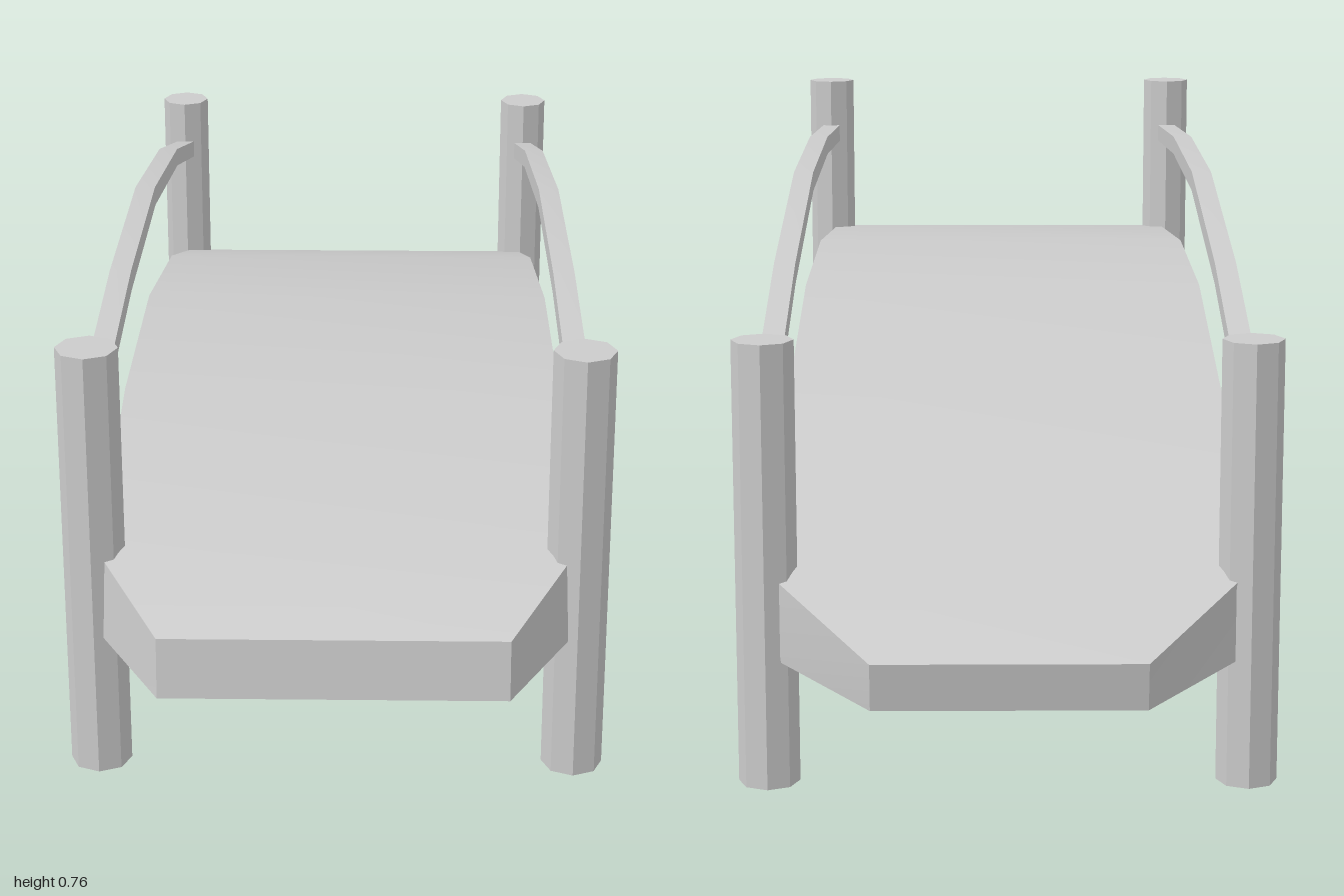
import * as THREE from 'three';
import { toCreasedNormals } from 'three/addons/utils/BufferGeometryUtils.js';

const material = new THREE.MeshStandardMaterial({ color: 0xcccccc });
const flat = new THREE.MeshStandardMaterial({ color: 0xcccccc, flatShading: true });

// Lofts a box section along z; each station is [z, top, bottom, half width, z offset of top, half width of top]
function loft(stations) {
  const pos = [], index = [];
  for (const [z, top, bottom, w, dz = 0, wTop = w] of stations) {
    pos.push(wTop, top, z + dz, -wTop, top, z + dz, -w, bottom, z, w, bottom, z);
  }
  const quad = (a, b, c, d) => index.push(a, b, c, a, c, d);
  for (let i = 0; i < stations.length - 1; i++) {
    for (let k = 0; k < 4; k++) {
      const a = i * 4 + k, b = i * 4 + (k + 1) % 4;
      quad(a, a + 4, b + 4, b);
    }
  }
  const e = (stations.length - 1) * 4;
  quad(0, 1, 2, 3);
  quad(e + 3, e + 2, e + 1, e);
  const g = new THREE.BufferGeometry();
  g.setAttribute('position', new THREE.Float32BufferAttribute(pos, 3));
  g.setIndex(index);
  return toCreasedNormals(g, 0.35);
}

export function createModel() {
  const model = new THREE.Group();
  const add = (name, geometry, mat, x = 0, y = 0, z = 0) => {
    const mesh = new THREE.Mesh(geometry, mat);
    mesh.name = name;
    mesh.position.set(x, y, z);
    model.add(mesh);
  };

  // Arched walkway slab with chamfered ends, stations running front to back
  add('deck', loft([
    [1, 0.435, 0.357, 0.22, -0.01],
    [0.85, 0.484, 0.373, 0.31, 0, 0.304],
    [0.4, 0.523, 0.413, 0.31],
    [0, 0.513, 0.403, 0.31],
    [-0.43, 0.424, 0.313, 0.31],
    [-0.85, 0.284, 0.173, 0.31],
    [-0.99, 0.208, 0.145, 0.173, -0.01],
  ]), material);

  // Handrails follow the arch between the posts
  const rail = loft([
    [0.833, 0.677, 0.648, 0.015],
    [0.4, 0.702, 0.673, 0.015],
    [0, 0.692, 0.663, 0.015],
    [-0.43, 0.617, 0.588, 0.015],
    [-0.835, 0.504, 0.475, 0.015],
  ]);
  const post = new THREE.CylinderGeometry(0.04, 0.04, 0.585, 8);

  for (const [side, x] of [['left', 0.311], ['right', -0.311]]) {
    add(side + 'Handrail', rail, material, x);
    add(side + 'FrontPost', post, flat, x, 0.4675, 0.833);
    add(side + 'BackPost', post, flat, x, 0.2925, -0.837);
  }
  return model;
}
